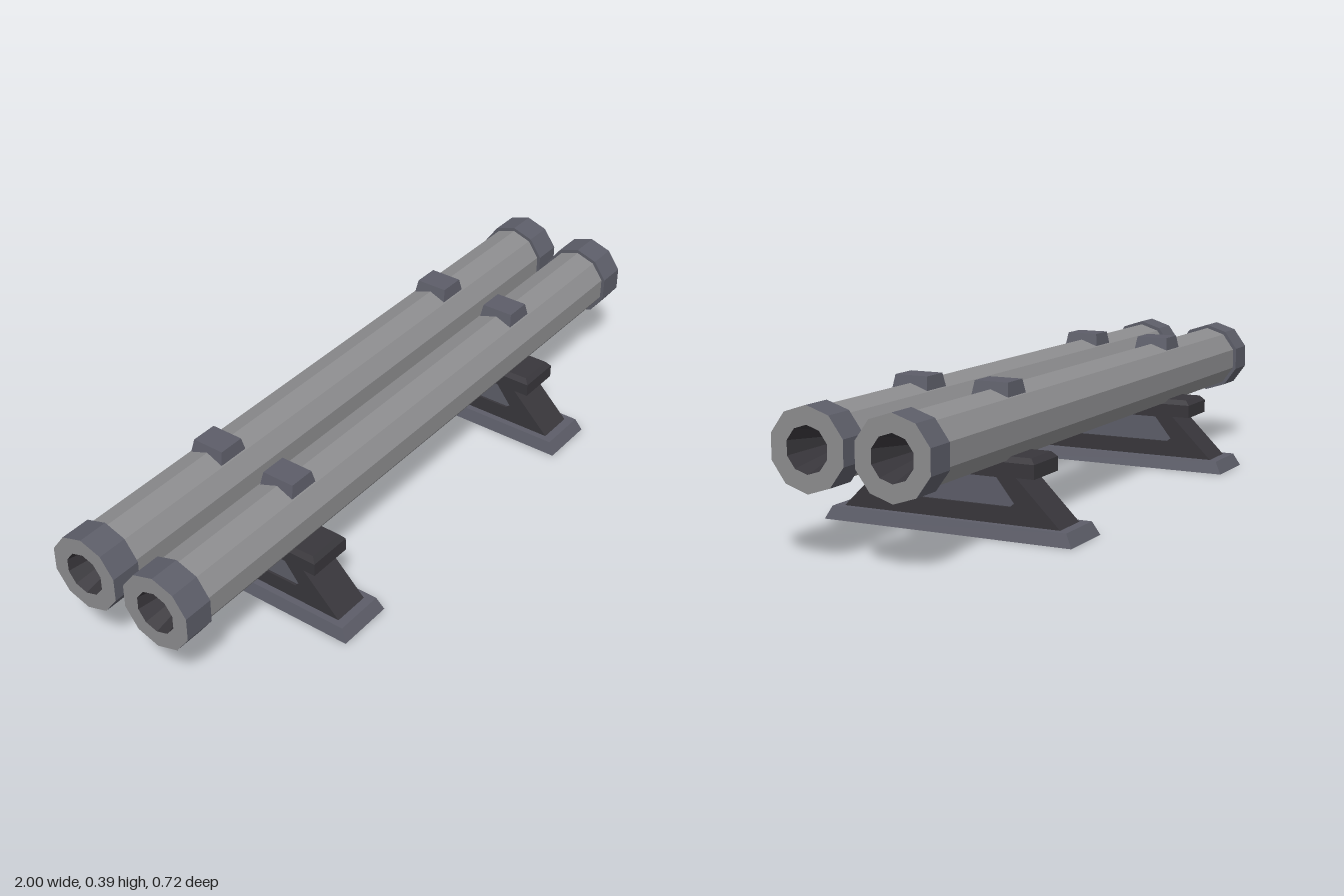
import * as THREE from 'three';

const pipeGrey = new THREE.MeshStandardMaterial({ color: 0x8c8c8e });
const steelBlue = new THREE.MeshStandardMaterial({ color: 0x5c5d68 });
const darkMetal = new THREE.MeshStandardMaterial({ color: 0x38363b });
pipeGrey.name = 'pipe grey';
steelBlue.name = 'steel blue grey';
darkMetal.name = 'dark metal';

// Give every face its own normal
function flat(geo) {
  const g = geo.index ? geo.toNonIndexed() : geo;
  g.computeVertexNormals();
  return g;
}

function add(parent, name, geo, material) {
  const mesh = new THREE.Mesh(flat(geo), material);
  mesh.name = name;
  parent.add(mesh);
  return mesh;
}

// Block from y0 to y1 with half sizes [x, z] at the bottom and at the top
function taperedBlock(y0, y1, bottom, top) {
  const g = new THREE.BoxGeometry(2, y1 - y0, 2);
  const p = g.attributes.position;
  for (let i = 0; i < p.count; i++) {
    const half = p.getY(i) > 0 ? top : bottom;
    p.setX(i, p.getX(i) * half[0]);
    p.setZ(i, p.getZ(i) * half[1]);
  }
  return g.translate(0, (y0 + y1) / 2, 0);
}

// Ten-sided surface along +x from [radius, x] points, a corner pointing up
function turned(points) {
  const profile = points.map(([r, x]) => new THREE.Vector2(r, x));
  return new THREE.LatheGeometry(profile, 10, Math.PI / 2).rotateZ(-Math.PI / 2);
}

// Side outline [z, y], mirrored in z
function outline(half, Type) {
  const right = half.map(([z, y]) => new THREE.Vector2(z, y));
  const left = half.map(([z, y]) => new THREE.Vector2(-z, y)).reverse();
  return new Type([...right, ...left]);
}

function sideSlab(shape, width) {
  return new THREE.ExtrudeGeometry(shape, { depth: width, bevelEnabled: false })
    .translate(0, 0, -width / 2)
    .rotateY(-Math.PI / 2);
}

function makePipe() {
  const pipe = new THREE.Group();
  pipe.name = 'pipe';
  add(pipe, 'pipeBody', turned([[0.095, -0.93], [0.095, 0.93]]), pipeGrey);

  // Collar, end face and bore at both ends
  for (const turn of [0, Math.PI]) {
    const end = new THREE.Group();
    end.name = 'pipeEnd';
    add(end, 'collar', turned([[0.09, 0.915], [0.1055, 0.915], [0.1055, 1]]), steelBlue);
    add(end, 'endFace', turned([[0.1055, 1], [0.059, 1]]), pipeGrey);
    add(end, 'bore', turned([[0.059, 1], [0.0005, 0.75]]), darkMetal);
    end.rotation.y = turn;
    pipe.add(end);
  }

  // Clips on top
  for (const x of [-0.5, 0.5]) {
    const clip = taperedBlock(0.07, 0.114, [0.049, 0.053], [0.038, 0.047]);
    add(pipe, 'topClip', clip, steelBlue).position.x = x;
  }
  return pipe;
}

function makeStand() {
  const stand = new THREE.Group();
  stand.name = 'stand';
  add(stand, 'base', taperedBlock(0, 0.035, [0.083, 0.36], [0.073, 0.341]), steelBlue);

  // Sloping web with a recessed panel on each side
  const panel = [[0.175, 0.08], [0.187, 0.09], [0.137, 0.153]];
  const web = outline([[0.316, 0.034], [0.188, 0.16]], THREE.Shape);
  web.holes.push(outline(panel, THREE.Path));
  add(stand, 'web', sideSlab(web, 0.108), darkMetal);
  add(stand, 'sidePanel', sideSlab(outline(panel, THREE.Shape), 0.094), steelBlue);

  // Cradle with bevelled top edges
  add(stand, 'cradle', taperedBlock(0.158, 0.195, [0.065, 0.249], [0.065, 0.249]), darkMetal);
  add(stand, 'cradleBevel', taperedBlock(0.195, 0.209, [0.065, 0.249], [0.054, 0.236]), darkMetal);
  return stand;
}

export function createModel() {
  const model = new THREE.Group();
  model.name = 'twinPipesOnStands';
  for (const z of [-0.116, 0.116]) {
    const pipe = makePipe();
    pipe.position.set(0, 0.276, z);
    model.add(pipe);
  }
  for (const x of [-0.5, 0.5]) {
    const stand = makeStand();
    stand.position.x = x;
    model.add(stand);
  }
  return model;
}
